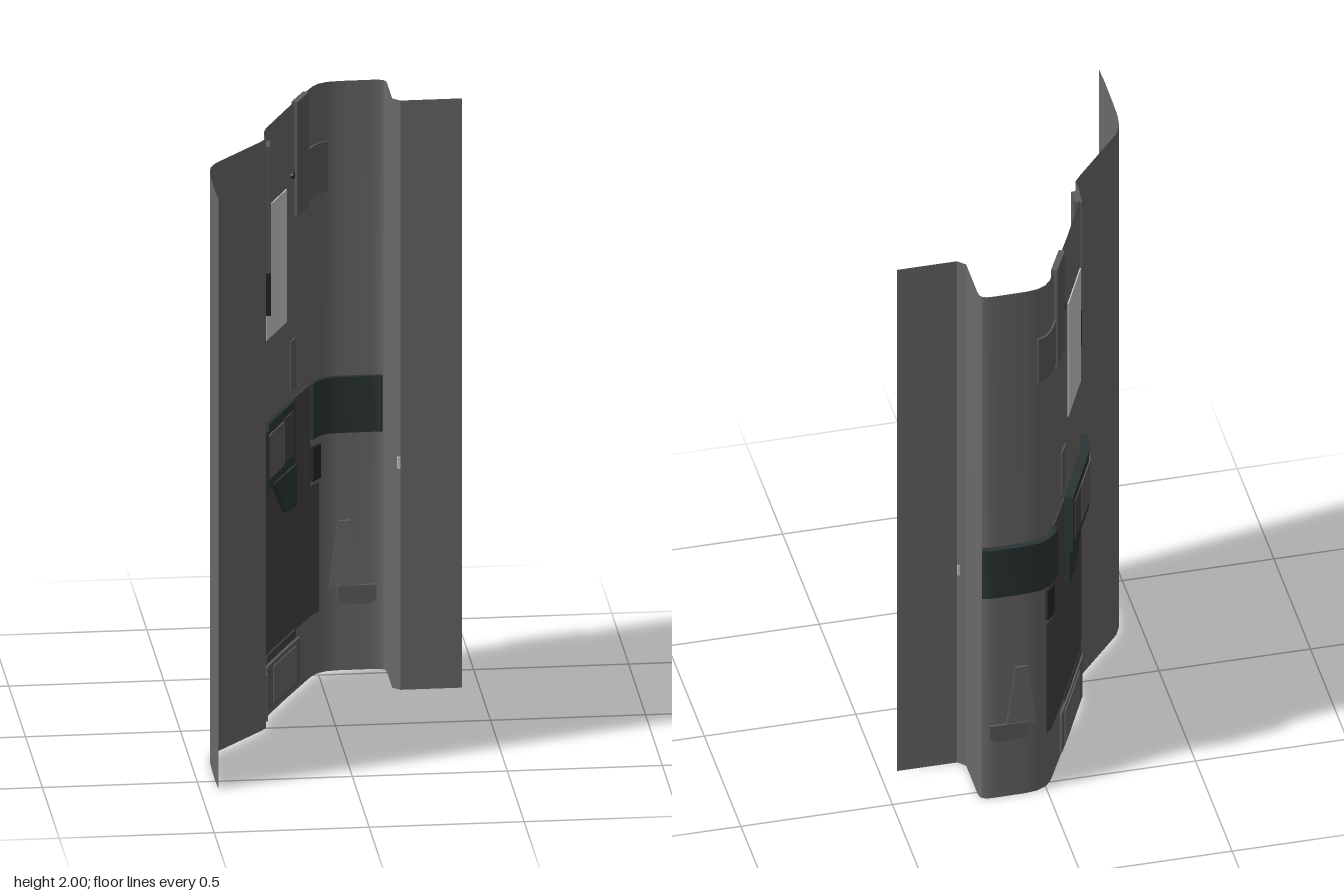
import * as THREE from 'three';
import { toCreasedNormals } from 'three/addons/utils/BufferGeometryUtils.js';

const mat = (color) => new THREE.MeshStandardMaterial({ color, side: THREE.DoubleSide });
const GREY = mat(0x6b6a68), TRIM = mat(0x5e5d5b), DARK = mat(0x454341),
  BLACK = mat(0x262626), TEAL = mat(0x2b3535), PANE = mat(0xcccccc);

// Plan outlines as [x, z]
const WING = [[-0.44, 0.57], [-0.442, 0.5], [-0.441, 0.38], [-0.439, 0.31], [-0.432, 0.262],
  [-0.412, 0.22], [-0.39, 0.194], [-0.25, 0.033], [-0.224, 0]];
const DOOR = [[-0.224, 0], [-0.226, -0.03], [-0.224, -0.065], [-0.215, -0.1], [-0.13, -0.28], [-0.035, -0.47],
  [-0.02, -0.497], [0, -0.52], [0.03, -0.535], [0.07, -0.54], [0.17, -0.541], [0.197, -0.54], [0.213, -0.533]];
const RETURN = [[0.213, -0.533], [0.219, -0.523], [0.221, -0.505], [0.221, -0.352], [0.245, -0.328], [0.444, -0.328]];

// Thin wall standing on a plan outline
function skin(name, path) {
  const geo = new THREE.PlaneGeometry(1, 1, path.length - 1, 1);
  const pos = geo.attributes.position;
  for (let i = 0; i < pos.count; i++) {
    const [x, z] = path[i % path.length];
    pos.setXYZ(i, x, i < path.length ? 2 : 0, z);
  }
  const mesh = new THREE.Mesh(toCreasedNormals(geo, 0.6), GREY);
  mesh.name = name;
  return mesh;
}

// Part of the door outline between two values of x - z, which grows along it
function section(a, b) {
  const key = ([x, z]) => x - z;
  const at = (u) => {
    let i = 0;
    while (i < DOOR.length - 2 && key(DOOR[i + 1]) < u) i++;
    const p = DOOR[i], q = DOOR[i + 1], t = (u - key(p)) / (key(q) - key(p));
    return [p[0] + (q[0] - p[0]) * t, p[1] + (q[1] - p[1]) * t];
  };
  return [at(a), ...DOOR.filter((p) => key(p) > a + 0.005 && key(p) < b - 0.005), at(b)];
}

// Solid strip that follows the door outline, standing out on both sides
function strip(name, a, b, y0, y1, inner, outer, material) {
  const path = section(a, b);
  const offset = (d) => path.map(([x, z], i) => {
    const p = path[Math.max(i - 1, 0)], q = path[Math.min(i + 1, path.length - 1)];
    const tx = q[0] - p[0], tz = q[1] - p[1], l = Math.hypot(tx, tz);
    return new THREE.Vector2(x - (tz / l) * d, -(z + (tx / l) * d));
  });
  const shape = new THREE.Shape([...offset(inner), ...offset(-outer).reverse()]);
  const geo = new THREE.ExtrudeGeometry(shape, { depth: y1 - y0, bevelEnabled: false });
  geo.rotateX(-Math.PI / 2).translate(0, y0, 0);
  const mesh = new THREE.Mesh(toCreasedNormals(geo, 0.6), material);
  mesh.name = name;
  return mesh;
}

// Flat plate cut from a polygon, centred on its own plane
function plate(name, points, thick, material) {
  const shape = new THREE.Shape(points.map(([x, y]) => new THREE.Vector2(x, y)));
  const geo = new THREE.ExtrudeGeometry(shape, { depth: thick, bevelEnabled: false });
  const mesh = new THREE.Mesh(geo.translate(0, 0, -thick / 2), material);
  mesh.name = name;
  return mesh;
}

export function createModel() {
  const model = new THREE.Group();
  model.name = 'wallPanel';

  // Main walls
  model.add(skin('sideWing', WING), skin('doorWall', DOOR), skin('returnWall', RETURN));

  // Door panels, window and pillar: name, from, to, bottom, top, inner, outer, material
  const strips = [
    ['lowerDoorPanel', -0.2, 0.52, 0.21, 0.65, 0.004, 0.004, DARK],
    ['upperDoorPanel', -0.2, 0.44, 0.65, 0.8, 0.004, 0.004, DARK],
    ['windowPane', -0.115, 0.15, 1.28, 1.73, 0.004, 0.004, PANE],
    ['doorPillar', -0.215, -0.15, 1.54, 1.97, 0.018, 0.006, TRIM],
    ['pillarFoot', -0.2, -0.16, 1.39, 1.54, 0.02, 0.006, BLACK],
    ['upperRail', 0.255, 0.4, 1.61, 2, 0.01, 0.01, TRIM],
    ['upperBox', 0.4, 0.565, 1.63, 1.8, 0.006, 0.006, TRIM],
    ['middlePlate', 0.2, 0.27, 1.03, 1.2, 0.004, 0.004, TRIM],
    ['lowerStep', -0.215, 0.3, 0.02, 0.175, 0.008, 0.008, TRIM],
    ['stepPocket', -0.05, 0.25, 0.035, 0.16, 0.011, 0.011, GREY],
    ['sillRail', -0.14, 0.24, 0.19, 0.215, 0.01, 0.006, DARK],
    ['sideBand', -0.21, 0.22, 0.78, 1, 0.014, 0.03, TEAL],
    ['bandCover', -0.16, 0.06, 0.815, 0.965, 0.018, 0.034, TRIM],
    ['bandWindow', 0.07, 0.19, 0.82, 0.97, 0.018, 0.034, DARK],
    ['bandPost', 0.23, 0.43, 0.65, 1, 0.006, 0.006, DARK],
    ['backBand', 0.44, 0.744, 0.81, 1, 0.014, 0.02, TEAL],
    ['backHandle', 0.45, 0.52, 0.665, 0.78, 0.012, 0.01, BLACK],
  ];
  strips.forEach((s) => model.add(strip(...s)));

  // Tapered bracket below the side band, on the sloping part of the door
  const slope = new THREE.Group();
  slope.name = 'slopingDoorParts';
  slope.position.set(-0.215, 0, -0.1);
  slope.rotation.y = Math.atan2(0.37, 0.18);
  slope.add(plate('bandBracket', [[0.03, 0.785], [0.06, 0.76], [0.15, 0.65], [0.245, 0.645], [0.245, 0.785]], 0.04, TEAL));

  // Round button, reaching through the wall
  const button = new THREE.Mesh(new THREE.CylinderGeometry(0.01, 0.01, 0.016, 12), BLACK);
  button.name = 'button';
  button.rotation.x = Math.PI / 2;
  button.position.set(0.25, 1.76, 0);
  slope.add(button);
  model.add(slope);

  // Small tray and tapered backing on the rear wall
  const rear = new THREE.Group();
  rear.name = 'rearTray';
  rear.position.z = -0.539;
  rear.add(
    plate('taperedBacking', [[0.035, 0.28], [0.135, 0.28], [0.105, 0.51], [0.065, 0.51]], 0.012, GREY),
    plate('tray', [[0.065, 0.23], [0.165, 0.225], [0.19, 0.24], [0.19, 0.29], [0.065, 0.29]], 0.018, TRIM),
  );
  model.add(rear);

  // Small light tab on the return wall
  const tab = new THREE.Mesh(new THREE.BoxGeometry(0.01, 0.04, 0.01), PANE);
  tab.name = 'tab';
  tab.position.set(0.24, 0.77, -0.33);
  model.add(tab);

  return model;
}
